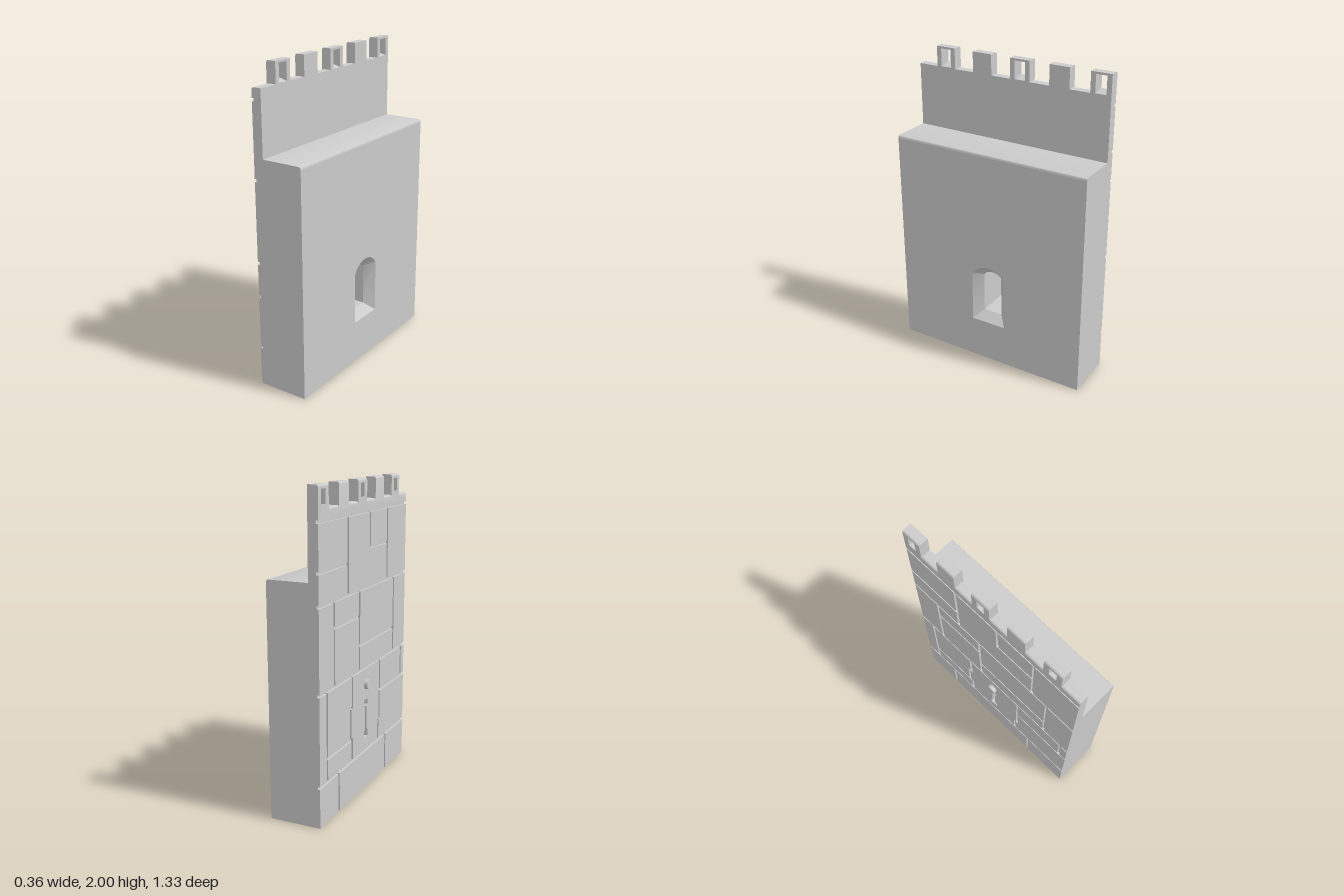
import * as THREE from 'three';
import { toCreasedNormals } from 'three/addons/utils/BufferGeometryUtils.js';

const HALF = 0.665, BACK = -0.155, SKIN = -0.141, THIN = -0.09, SPLAY = 0.117, FRONT = 0.176;
const LEDGE = 1.465, SILL = 1.87, TOP = 2, GAP = 0.009;
const material = new THREE.MeshStandardMaterial({ color: 0xcccccc });

const toShape = pts => new THREE.Shape(pts.map(p => new THREE.Vector2(p[0], p[1])));
const rect = (a0, a1, y0, y1) => [[a0, y0], [a1, y0], [a1, y1], [a0, y1]];

// Slab drawn in (-z, y) and extruded along x from x0 to x1; rule may move vertices (z = depth)
function slab(name, outline, holes, x0, x1, rule, steps = 1) {
  const shape = toShape(outline);
  shape.holes = holes.map(toShape);
  let geo = new THREE.ExtrudeGeometry(shape, { depth: x1 - x0, bevelEnabled: false, steps });
  if (rule) {
    const pos = geo.attributes.position, v = new THREE.Vector3();
    for (let i = 0; i < pos.count; i++) {
      rule(v.fromBufferAttribute(pos, i));
      pos.setXYZ(i, v.x, v.y, v.z);
    }
  }
  geo = toCreasedNormals(geo, 0.5);
  geo.rotateY(Math.PI / 2).translate(x0, 0, 0);
  const mesh = new THREE.Mesh(geo, material);
  mesh.name = name;
  return mesh;
}

// Window opening with a segmental arch
const ARCH_Y = 0.552;
function archOpening(w, bottom, r) {
  const pts = [[-w, bottom], [w, bottom]];
  const a0 = Math.acos(w / r), n = 20;
  for (let i = 0; i <= n; i++) {
    const a = a0 + (Math.PI - 2 * a0) * i / n;
    pts.push([r * Math.cos(a), ARCH_Y + r * Math.sin(a)]);
  }
  return pts;
}

// Arrow slit, wider at both ends
function arrowSlit() {
  const side = [[0.028, 0.345], [0.028, 0.388], [0.012, 0.4], [0.012, 0.55],
    [0.028, 0.562], [0.028, 0.59], [0.02, 0.6]];
  return [...side, ...side.map(([a, y]) => [-a, y]).reverse()];
}

// Battlement layout
const PITCH = HALF * 2 / 10;
const merlons = [0, 1, 2, 3, 4].map(k => -HALF + PITCH * (2 * k + 1));
const windowCentres = [0, 2, 4].map(k => merlons[k] + PITCH / 2);

function battlementOutline(bottom) {
  const pts = [[-HALF, bottom], [HALF, bottom]];
  for (const a of [...merlons].reverse()) {
    pts.push([a + PITCH, TOP], [a, TOP], [a, SILL]);
    if (a !== merlons[0]) pts.push([a - PITCH, SILL]);
  }
  pts.push([-HALF, SILL]);
  return pts;
}

// Stones as [u0, u1, y0, y1], u running from the -z end
const stones = [
  [0, 0.26, 0, 0.255], [0.26, 1, 0, 0.255], [1, 1.33, 0, 0.255],
  [0, 0.1, 0.255, 0.815], [0.1, 0.455, 0.255, 0.4], [0.1, 0.43, 0.4, 0.815], [0.38, 0.455, 0.61, 0.815],
  [0.89, 1.27, 0.6, 0.815], [1.27, 1.33, 0.6, 0.815], [0.89, 1.33, 0.255, 0.6], [0.87, 0.95, 0.255, 0.41],
  [0, 0.2, 0.815, 1.33], [0.2, 0.56, 0.815, 1.17], [0.2, 0.56, 1.17, 1.33],
  [0.56, 1.12, 0.815, 0.98], [0.56, 1.12, 0.98, 1.33], [1.12, 1.33, 0.815, 1.33],
  [0, 0.39, 1.33, 1.52], [0, 0.39, 1.52, 1.8], [0.39, 0.72, 1.33, 1.8], [0.39, 1, 1.33, 1.575],
  [0.72, 1, 1.575, 1.8], [1, 1.33, 1.33, 1.8],
];

function createStonework() {
  const group = new THREE.Group();
  group.name = 'stonework';
  const depth = SKIN - BACK;
  for (const [u0, u1, y0, y1] of stones) {
    const z0 = u0 - HALF + (u0 > 0 ? GAP : 0), z1 = u1 - HALF - (u1 < 1.33 ? GAP : 0);
    const b = y0 + (y0 > 0 ? GAP : 0), t = y1 - GAP;
    const mesh = new THREE.Mesh(new THREE.BoxGeometry(depth, t - b, z1 - z0), material);
    mesh.position.set((SKIN + BACK) / 2, (b + t) / 2, (z0 + z1) / 2);
    mesh.name = 'stone';
    group.add(mesh);
  }
  // Stepped stone around the arrow slit
  const g = GAP;
  const slitStone = [[0.455 + g, 0.255 + g], [0.87 - g, 0.255 + g], [0.87 - g, 0.41], [0.89 - g, 0.41],
    [0.89 - g, 0.815 - g], [0.455 + g, 0.815 - g], [0.455 + g, 0.61 - g], [0.43 + g, 0.61 - g],
    [0.43 + g, 0.4 + g], [0.455 + g, 0.4 + g]].map(([u, y]) => [HALF - u, y]);
  group.add(slab('slitStone', slitStone, [arrowSlit()], BACK, SKIN));
  // Battlement facing with rounded outer top edges
  const holes = windowCentres.map(c => rect(c - 0.027, c + 0.027, 1.89, 1.975));
  group.add(slab('battlementFacing', battlementOutline(1.8 + GAP), holes, BACK, SKIN, v => {
    if (Math.abs(v.y - SILL) > 1e-4 && Math.abs(v.y - TOP) > 1e-4) return;
    const s = 1 - v.z / depth;
    v.y -= depth * (1 - Math.sqrt(Math.max(0, 1 - s * s)));
  }, 5));
  return group;
}

export function createModel() {
  const model = new THREE.Group();
  model.name = 'castleWall';
  const bodyTop = LEDGE - 0.02;

  // Thin rear wall with battlements; small windows narrow outwards
  const windows = windowCentres.map(c => rect(c - 0.035, c + 0.035, 1.873, 1.987));
  model.add(slab('parapetWall', battlementOutline(0), [arrowSlit(), ...windows], SKIN, THIN, v => {
    if (v.z > 0.01 || v.y < 1.8715 || v.y > 1.99) return;
    const c = windowCentres.find(m => Math.abs(v.x - m) < 0.04);
    v.x = c + Math.sign(v.x - c) * 0.027;
    v.y = v.y > 1.93 ? 1.975 : 1.89;
  }));

  // Thick lower wall with a straight recess, then a splayed reveal
  const block = rect(-HALF, HALF, 0, bodyTop);
  model.add(slab('lowerWall', block, [archOpening(0.065, 0.335, 0.083)], THIN, SPLAY));
  model.add(slab('splayedWindow', block, [archOpening(0.12, 0.28, 0.138)], SPLAY, FRONT, v => {
    if (v.z > 0.01 || Math.abs(v.x) > 0.2 || v.y < 0.1 || v.y > 1) return;
    v.x *= 0.065 / 0.12;
    v.y = v.y < 0.4 ? 0.335 : ARCH_Y + Math.sqrt(0.083 ** 2 - v.x ** 2);
  }));

  // Walkway slab with a rounded front edge
  const r = 0.014;
  const profile = new THREE.Shape();
  profile.moveTo(THIN, bodyTop);
  profile.lineTo(FRONT, bodyTop);
  profile.lineTo(FRONT, LEDGE - r);
  profile.absarc(FRONT - r, LEDGE - r, r, 0, Math.PI / 2, false);
  profile.lineTo(THIN, LEDGE);
  const walkGeo = new THREE.ExtrudeGeometry(profile, { depth: 2 * HALF, bevelEnabled: false, curveSegments: 6 });
  const walkway = new THREE.Mesh(toCreasedNormals(walkGeo.translate(0, 0, -HALF), 0.5), material);
  walkway.name = 'walkway';
  model.add(walkway);

  // Stone facing and the round peg above the slit
  model.add(createStonework());
  const peg = new THREE.Mesh(new THREE.CylinderGeometry(0.033, 0.033, 0.03, 32), material);
  peg.name = 'peg';
  peg.rotation.z = Math.PI / 2;
  peg.position.set(-0.165, 0.705, 0);
  model.add(peg);
  return model;
}
